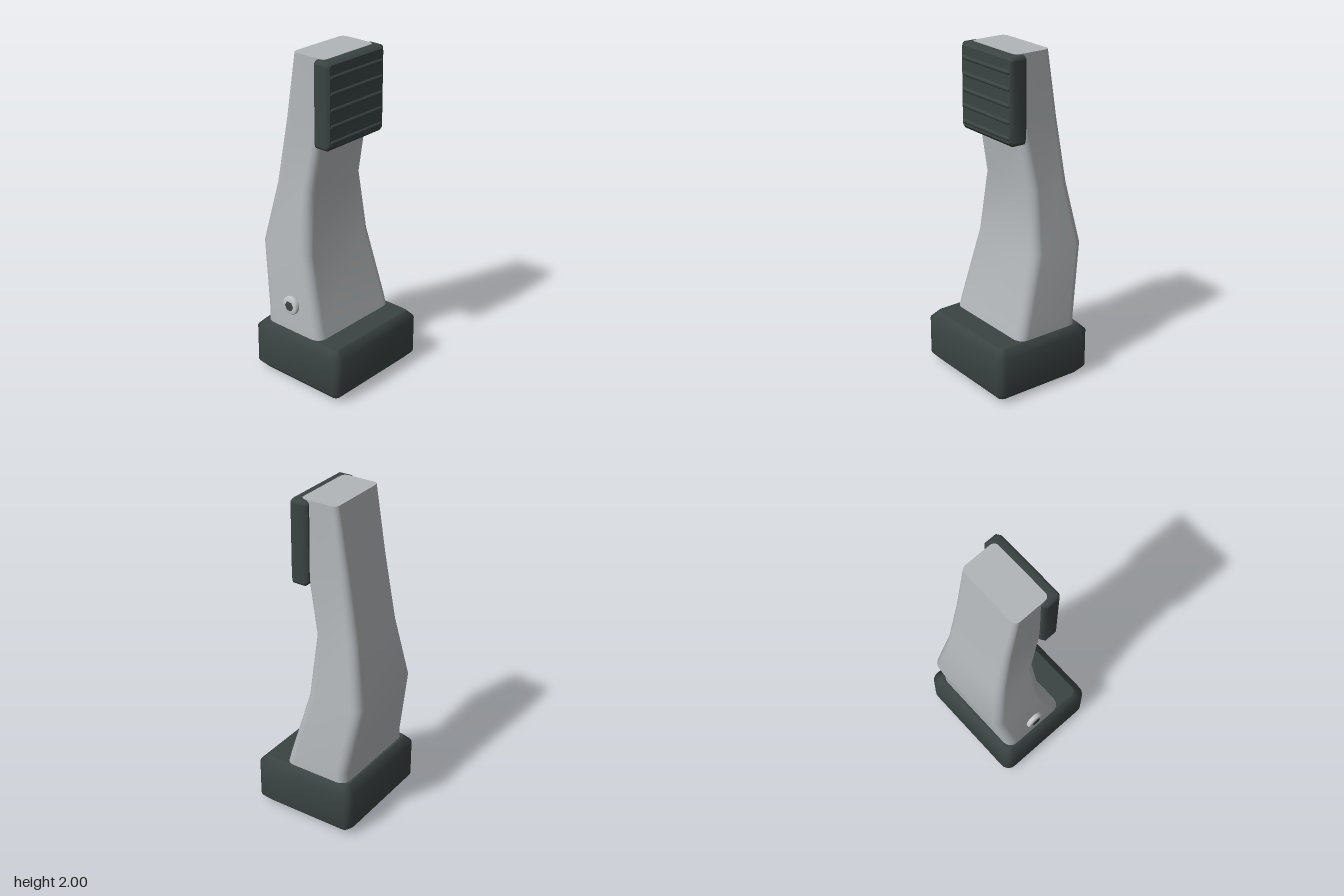
import * as THREE from 'three';

// Lofts rounded-rectangle sections along y: [y, xMin, xMax, halfZ, radius]
function loft(sections, steps = 5) {
  const pos = [], index = [], n = 4 * (steps + 1);
  const ring = ([y, x0, x1, hz, r]) => {
    const start = pos.length / 3;
    for (let c = 0; c < 4; c++) {
      const cx = c === 0 || c === 3 ? x1 - r : x0 + r;
      const cz = c < 2 ? hz - r : r - hz;
      for (let s = 0; s <= steps; s++) {
        const a = (c + s / steps) * Math.PI / 2;
        pos.push(cx + r * Math.cos(a), y, cz + r * Math.sin(a));
      }
    }
    return start;
  };
  const starts = sections.map(ring);
  for (let k = 0; k < starts.length - 1; k++) {
    for (let i = 0; i < n; i++) {
      const j = (i + 1) % n, lo = starts[k], hi = starts[k + 1];
      index.push(lo + i, hi + i, lo + j, lo + j, hi + i, hi + j);
    }
  }
  // Flat end caps with their own vertices
  const bottom = ring(sections[0]), top = ring(sections[sections.length - 1]);
  for (let i = 1; i < n - 1; i++) {
    index.push(bottom, bottom + i, bottom + i + 1);
    index.push(top, top + i + 1, top + i);
  }
  const geo = new THREE.BufferGeometry();
  geo.setAttribute('position', new THREE.Float32BufferAttribute(pos, 3));
  geo.setIndex(index);
  geo.computeVertexNormals();
  return geo;
}

export function createModel() {
  const model = new THREE.Group();
  model.name = 'pedalArm';
  const material = (name, color) => {
    const m = new THREE.MeshStandardMaterial({ color });
    m.name = name;
    return m;
  };
  const metal = material('greyMetal', 0xb2b6b9);
  const rubber = material('darkRubber', 0x3b4443);
  const steel = material('brightSteel', 0xc4c7c8);
  const add = (name, geo, mat, parent = model) => {
    const mesh = new THREE.Mesh(geo, mat);
    mesh.name = name;
    parent.add(mesh);
    return mesh;
  };

  // Chamfered foot block
  add('base', loft([
    [0, -0.285, 0.293, 0.325, 0.03],
    [0.05, -0.332, 0.34, 0.372, 0.06],
    [0.28, -0.332, 0.34, 0.372, 0.06],
    [0.328, -0.285, 0.293, 0.325, 0.03],
  ]), rubber);

  // Bent, tapering arm
  add('arm', loft([
    [0.3, -0.272, 0.163, 0.325, 0.06],
    [0.39, -0.272, 0.14, 0.322, 0.06],
    [0.82, -0.342, 0.024, 0.284, 0.06],
    [1.2, -0.268, 0.001, 0.23, 0.05],
    [1.6, -0.2, 0.072, 0.212, 0.04],
    [2, -0.134, 0.099, 0.208, 0.032],
  ]), metal);

  // Grip pad, lofted along x after turning
  const pad = new THREE.Group();
  pad.name = 'gripPad';
  model.add(pad);
  add('padBlock', loft([
    [0.04, -1.98, -1.51, 0.222, 0.015],
    [0.06, -1.998, -1.49, 0.242, 0.025],
    [0.135, -1.998, -1.49, 0.242, 0.025],
    [0.154, -1.98, -1.51, 0.222, 0.015],
  ]).rotateZ(-Math.PI / 2), rubber, pad);

  // Raised horizontal ribs
  for (let i = 0; i < 5; i++) {
    const rib = add('padRib', new THREE.CapsuleGeometry(0.014, 0.412, 4, 10), rubber, pad);
    rib.rotation.x = Math.PI / 2;
    rib.position.set(0.149, 1.537 + i * 0.0935, 0);
  }

  // Socket screw on the front side
  const screw = new THREE.Group();
  screw.name = 'screw';
  screw.position.set(-0.066, 0.495, 0.305);
  model.add(screw);
  const profile = [[0.054, 0], [0.057, 0.008], [0.057, 0.024], [0.05, 0.032], [0.028, 0.033], [0, 0.033]]
    .map(([r, y]) => new THREE.Vector2(r, y));
  add('screwHead', new THREE.LatheGeometry(profile, 32).rotateX(Math.PI / 2), steel, screw);
  const socket = add('hexSocket', new THREE.CylinderGeometry(0.032, 0.032, 0.004, 6).rotateX(Math.PI / 2), rubber, screw);
  socket.position.z = 0.033;
  socket.rotation.z = Math.PI / 6;

  return model;
}
